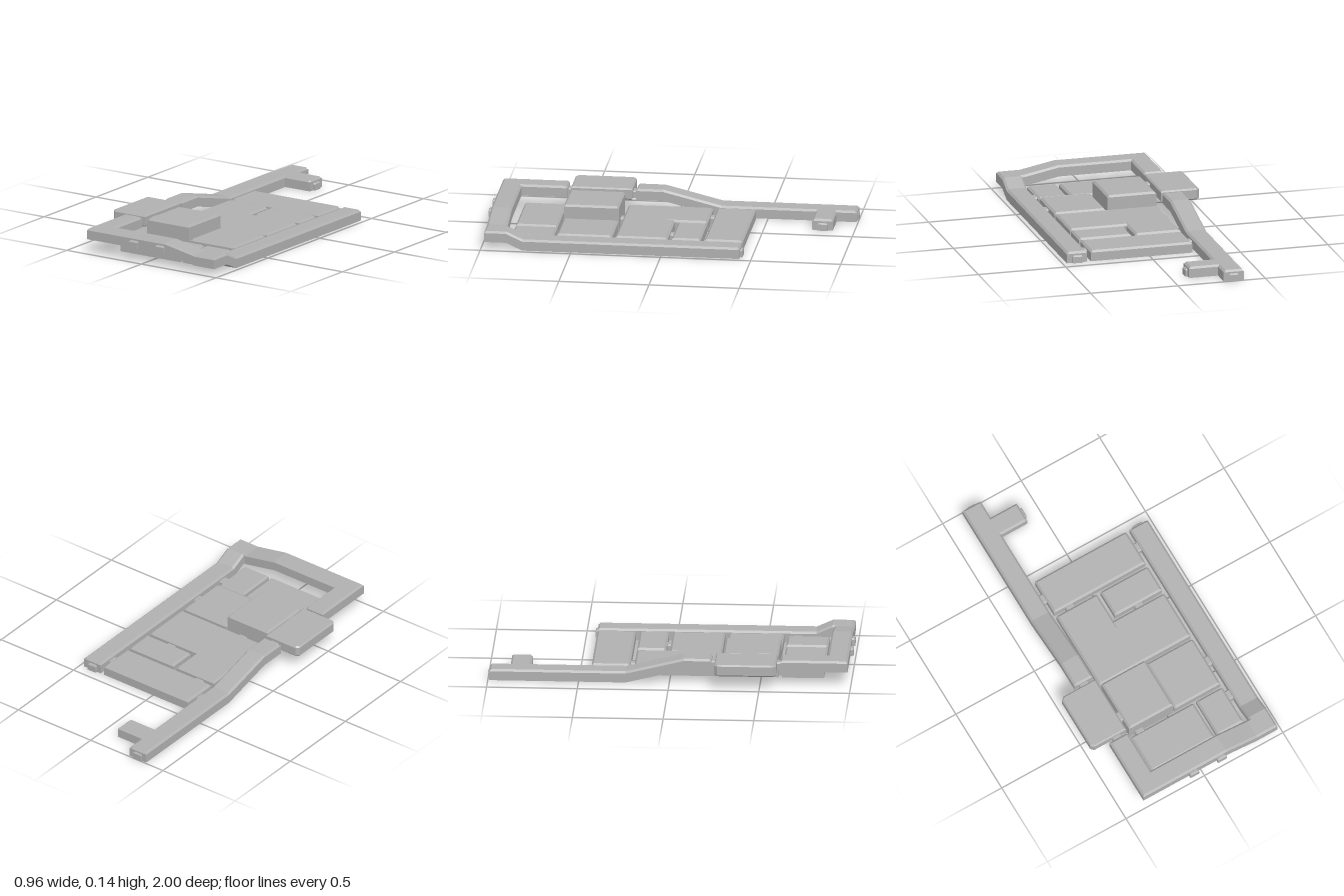
import * as THREE from 'three';

const stone = new THREE.MeshStandardMaterial({ color: 0xb0b0b0 });
stone.name = 'grey';

// Sweeps a slab with chamfered top edges along a path of [x, z, baseY] points, mitred in plan.
function slab(path, halfWidth, height, bevel) {
  const pts = path.map(([x, z, y]) => new THREE.Vector3(x, y, z));
  const inset = (end, next) => {
    const d = next.clone().sub(end);
    return end.clone().addScaledVector(d, bevel / d.length());
  };
  const n = pts.length;
  const line = [pts[0], inset(pts[0], pts[1]), ...pts.slice(1, -1),
    inset(pts[n - 1], pts[n - 2]), pts[n - 1]];
  const last = line.length - 1;

  const heading = (a, b) => new THREE.Vector2(b.x - a.x, b.z - a.z).normalize();
  const rings = line.map((p, i) => {
    const before = heading(line[Math.max(i - 1, 0)], line[Math.max(i, 1)]);
    const after = heading(line[Math.min(i, last - 1)], line[Math.min(i + 1, last)]);
    const t = before.clone().add(after).normalize();
    const miter = 1 / t.dot(after);
    const top = i === 0 || i === last ? height - bevel : height;
    const w = halfWidth, c = w - bevel;
    return [[-w, 0], [-w, height - bevel], [-c, top], [c, top], [w, height - bevel], [w, 0]]
      .map(([s, y]) => [p.x + t.y * s * miter, p.y + y, p.z - t.x * s * miter]);
  });

  const pos = [];
  const tri = (a, b, c) => pos.push(...a, ...b, ...c);
  for (let i = 0; i < last; i++) {
    for (let j = 0; j < 6; j++) {
      const k = (j + 1) % 6;
      const a = rings[i][j], b = rings[i][k], c = rings[i + 1][k], d = rings[i + 1][j];
      tri(a, c, b);
      tri(a, d, c);
    }
  }
  for (let j = 1; j < 5; j++) {
    tri(rings[0][0], rings[0][j], rings[0][j + 1]);
    tri(rings[last][0], rings[last][j + 1], rings[last][j]);
  }
  const geo = new THREE.BufferGeometry();
  geo.setAttribute('position', new THREE.Float32BufferAttribute(pos, 3));
  geo.computeVertexNormals();
  return geo;
}

// Rectangular block with chamfered top edges.
function block(x0, x1, z0, z1, y, height, bevel) {
  const x = (x0 + x1) / 2;
  return slab([[x, z0, y], [x, z1, y]], (x1 - x0) / 2, height, bevel);
}

export function createModel() {
  const model = new THREE.Group();
  model.name = 'floorPlan';
  const add = (name, geo, parent = model) => {
    const mesh = new THREE.Mesh(geo, stone);
    mesh.name = name;
    parent.add(mesh);
    return mesh;
  };
  const W = 0.0575, H = 0.062, B = 0.011, UP = 0.079;

  // Corridor that climbs round the front corner
  add('frontCorridor', slab([
    [0.418, -0.435, 0], [0.418, 0.77, 0], [0.418, 0.86, 0.041], [0.418, 0.925, 0.041],
    [0.345, 0.925, 0.041], [0.15, 0.925, UP], [-0.321, 0.925, UP], [-0.321, 0.612, UP],
  ], W, H, B));

  // Side corridor that ramps down to the back, with its stub
  add('sideCorridor', slab([
    [-0.321, 0.232, UP], [-0.321, 0.08, UP], [-0.321, -0.24, 0], [-0.321, -0.992, 0],
  ], W, H, B));
  add('corridorStub', slab([[-0.32, -0.823, 0], [-0.098, -0.823, 0]], W, H, B));

  // Rooms: x0, x1, z0, z1, height
  const rooms = new THREE.Group();
  rooms.name = 'rooms';
  model.add(rooms);
  [
    ['backRoom', -0.243, 0.338, -0.435, -0.223, 0.06],
    ['cornerRoomWing', -0.243, 0.015, -0.2, 0.27, 0.06],
    ['cornerRoomHall', -0.243, 0.338, 0.015, 0.27, 0.06],
    ['cornerRoomNeck', 0, 0.338, -0.018, 0.1, 0.06],
    ['smallRoom', 0.038, 0.338, -0.2, -0.04, 0.06],
    ['tallRoom', -0.243, 0.036, 0.29, 0.595, 0.132],
    ['middleRoom', 0.046, 0.338, 0.29, 0.595, 0.06],
    ['frontRoom', -0.246, 0.155, 0.614, 0.846, 0.048],
    ['frontSideRoom', 0.172, 0.338, 0.614, 0.846, 0.048],
  ].forEach(([name, x0, x1, z0, z1, h]) => add(name, block(x0, x1, z0, z1, 0, h, B), rooms));

  // Raised side room with cut outer corners
  const e = 0.008;
  const outline = new THREE.Shape([
    [-0.26 - e, -0.592 + e], [-0.26 - e, -0.252 - e], [-0.46, -0.252 - e],
    [-0.48 + e, -0.272], [-0.48 + e, -0.572], [-0.46, -0.592 + e],
  ].map(([x, y]) => new THREE.Vector2(x, y)));
  const sideRoom = new THREE.ExtrudeGeometry(outline, {
    depth: 0.05, bevelSize: e, bevelThickness: e, bevelSegments: 1,
  });
  sideRoom.rotateX(-Math.PI / 2).translate(0, 0.077 + e, 0);
  add('raisedSideRoom', sideRoom, rooms);

  // Doorways: centre x, centre z, base y, true when the passage runs along x
  const doors = new THREE.Group();
  doors.name = 'doorways';
  model.add(doors);
  [
    [-0.321, 0.602, UP, false], [-0.321, 0.242, UP, false], [-0.18, 0.604, 0, false],
    [-0.072, 0.28, 0, false], [-0.145, -0.211, 0, false], [0.187, -0.029, 0, false],
    [0.35, -0.33, 0, true], [0.35, 0.44, 0, true], [0.35, 0.67, 0, true],
    [-0.253, -0.33, 0, true], [-0.253, 0.5, UP, true],
    [-0.06, 0.98, UP, false], [0.115, 0.98, UP, false],
    [0.415, -0.428, 0, false], [-0.321, -0.98, 0, false], [-0.105, -0.823, 0, true],
  ].forEach(([x, z, y, alongX]) => {
    const dx = alongX ? 0.02 : 0, dz = alongX ? 0 : 0.02;
    add('doorway', slab([[x - dx, z - dz, y], [x + dx, z + dz, y]], 0.028, 0.042, 0.007), doors);
  });

  return model;
}
